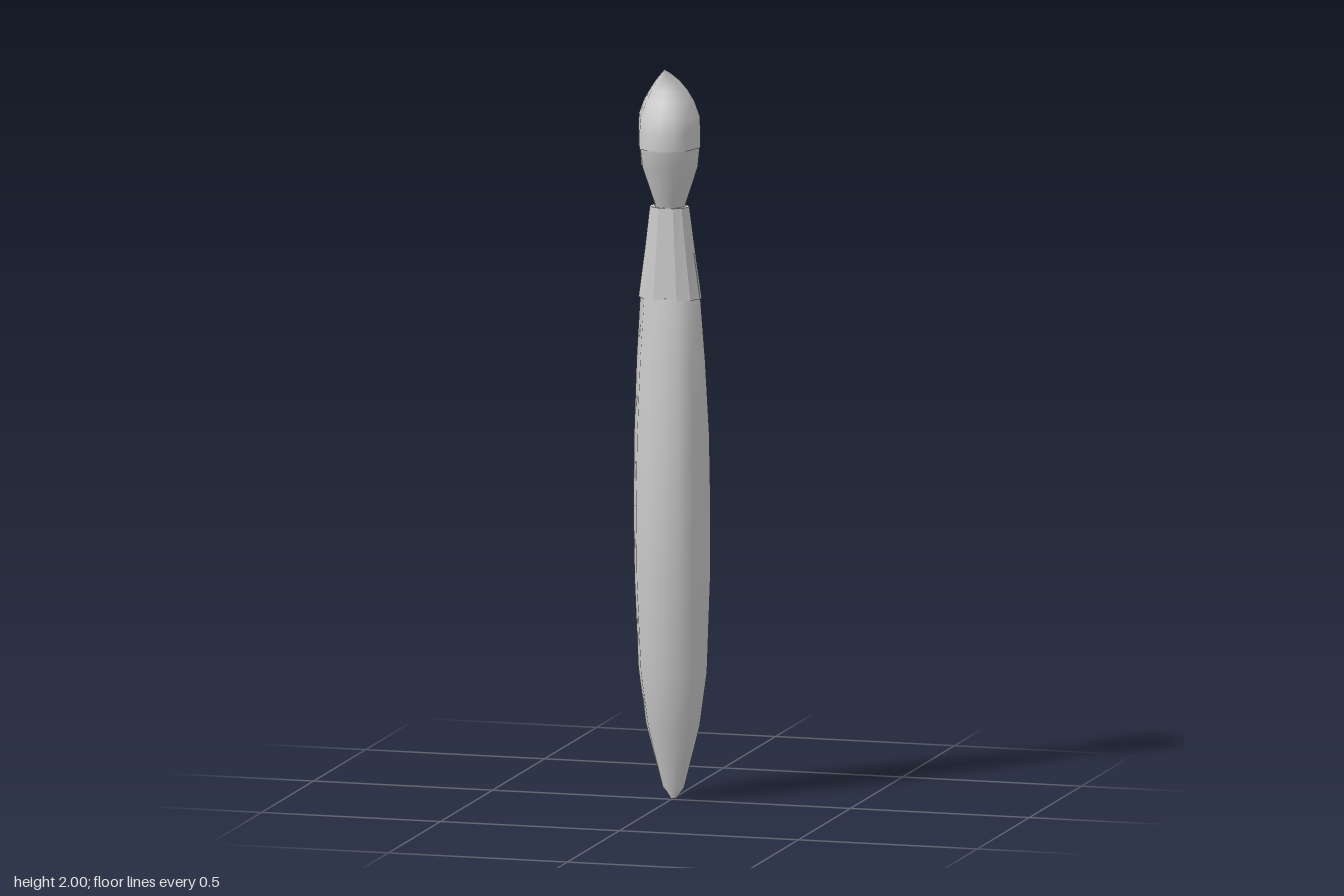
import * as THREE from 'three';

const ROUND = [0, 25, 48, 90, 132, 155, 180, 205, 228, 270, 312, 335];
const FACETED = [-22, 22, 50, 81, 99, 130, 158, 202, 230, 261, 279, 310];

// Loft through oval sections [y, halfWidth, zBack, zFront], capped at both ends
function loft(name, sections, angles, flatShading = false) {
  const n = angles.length, pos = [], index = [];
  const addRing = ([y, rx, back, front]) => {
    const mid = (back + front) / 2, rz = (front - back) / 2;
    for (const deg of angles) {
      const a = THREE.MathUtils.degToRad(deg);
      pos.push(rx * Math.sin(a), y, mid + rz * Math.cos(a));
    }
  };
  sections.forEach(addRing);
  for (let s = 0; s < sections.length - 1; s++) {
    for (let i = 0; i < n; i++) {
      const a = s * n + i, b = s * n + (i + 1) % n;
      index.push(a, b, b + n, a, b + n, a + n);
    }
  }
  // Caps own their vertices so the rims stay sharp
  for (const [section, up] of [[sections[0], false], [sections.at(-1), true]]) {
    const start = pos.length / 3;
    addRing(section);
    pos.push(0, section[0], (section[2] + section[3]) / 2);
    for (let i = 0; i < n; i++) {
      const a = start + i, b = start + (i + 1) % n;
      index.push(start + n, up ? a : b, up ? b : a);
    }
  }
  const geometry = new THREE.BufferGeometry();
  geometry.setAttribute('position', new THREE.Float32BufferAttribute(pos, 3));
  geometry.setIndex(index);
  geometry.computeVertexNormals();
  const mesh = new THREE.Mesh(geometry, new THREE.MeshStandardMaterial({ color: 0xcccccc, flatShading }));
  mesh.name = name;
  return mesh;
}

export function createModel() {
  const brush = new THREE.Group();
  brush.name = 'paintbrush';

  // Long bellied handle, tapering to a small blunt end
  brush.add(loft('handle', [
    [0.0, 0.008, -0.028, -0.012],
    [0.03, 0.03, -0.036, -0.002],
    [0.2, 0.075, -0.077, 0.05],
    [0.35, 0.096, -0.102, 0.077],
    [0.6, 0.106, -0.114, 0.096],
    [0.8, 0.108, -0.111, 0.1],
    [1.0, 0.105, -0.099, 0.092],
    [1.2, 0.096, -0.071, 0.08],
    [1.375, 0.084, -0.042, 0.064],
  ], ROUND));

  // Faceted collar gripping the bristles
  brush.add(loft('ferrule', [
    [1.37, 0.087, -0.044, 0.067],
    [1.5, 0.069, -0.035, 0.063],
    [1.62, 0.054, -0.025, 0.06],
  ], FACETED, true));

  // Lower half of the bristle head
  brush.add(loft('bristleBase', [
    [1.6, 0.038, -0.02, 0.05],
    [1.63, 0.045, -0.027, 0.058],
    [1.73, 0.079, -0.063, 0.1],
    [1.787, 0.085, -0.076, 0.114],
  ], ROUND));

  // Upper half, sweeping forward into a hooked point
  brush.add(loft('bristleTip', [
    [1.783, 0.087, -0.078, 0.116],
    [1.83, 0.087, -0.076, 0.115],
    [1.87, 0.085, -0.065, 0.104],
    [1.91, 0.07, -0.044, 0.084],
    [1.94, 0.052, -0.023, 0.068],
    [1.965, 0.034, 0.003, 0.063],
    [1.985, 0.016, 0.034, 0.063],
    [2.0, 0.001, 0.064, 0.066],
  ], ROUND));

  return brush;
}
